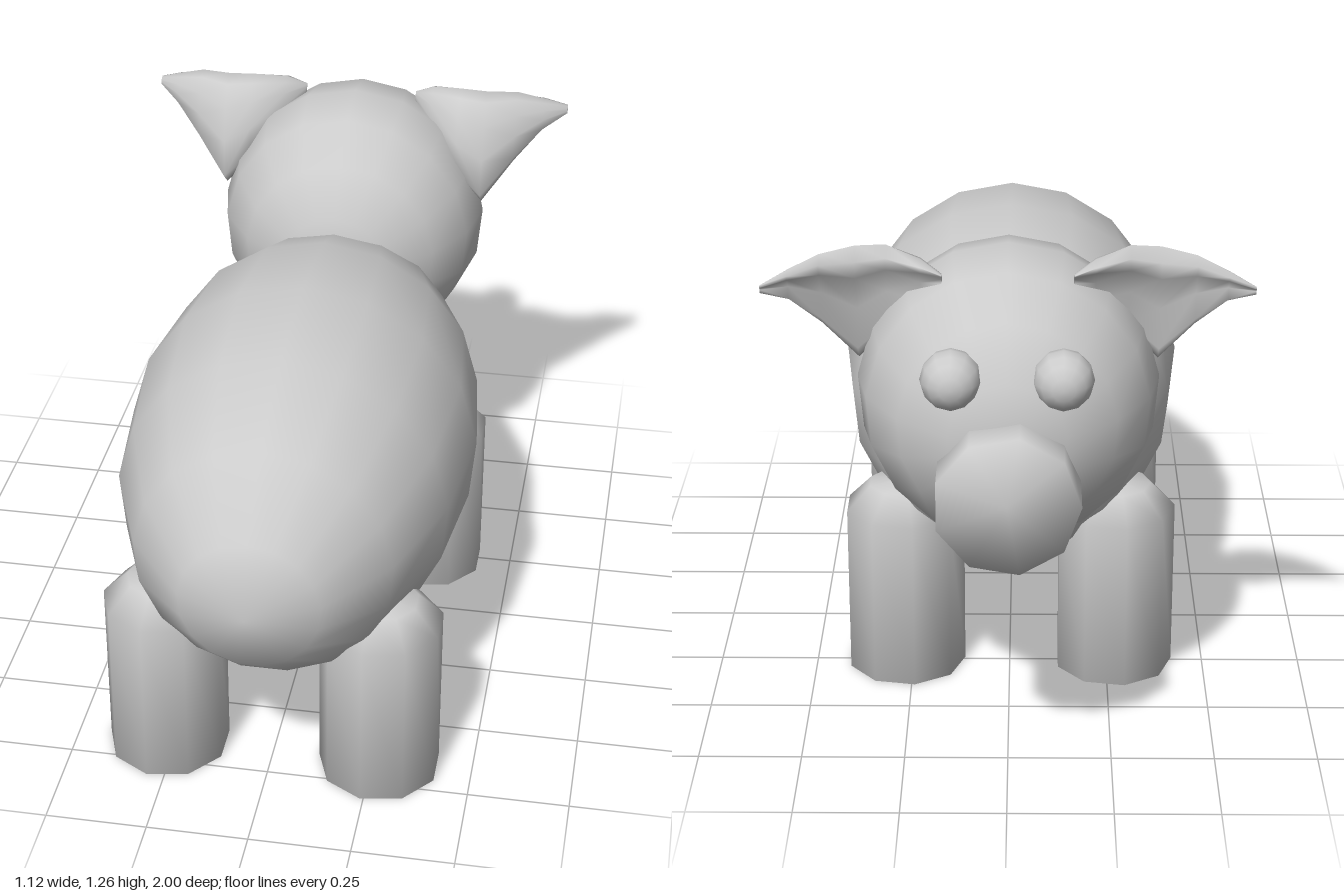
import * as THREE from 'three';

const material = new THREE.MeshStandardMaterial({ color: 0xcccccc });

function add(group, name, geometry, x = 0, y = 0, z = 0) {
  const mesh = new THREE.Mesh(geometry, material);
  mesh.name = name;
  mesh.position.set(x, y, z);
  group.add(mesh);
}

// Sphere with its poles along z and a vertex at the top
function ball(rx, ry, rz, slices, stacks) {
  return new THREE.SphereGeometry(1, slices, stacks, Math.PI * 1.5)
    .rotateX(Math.PI / 2).scale(rx, ry, rz);
}

function lathe(profile, sides) {
  const points = profile.map(([r, y]) => new THREE.Vector2(r, y));
  return new THREE.LatheGeometry(points, sides, -Math.PI / 2);
}

// Cupped ear: sections lofted from the inner end to the tip
function ear(side) {
  // x, lowest y, highest y, middle z, half thickness
  const stations = [
    [0.15, 1.19, 1.215, -0.675, 0.01],
    [0.2, 1.13, 1.243, -0.64, 0.045],
    [0.28, 1.04, 1.263, -0.595, 0.055],
    [0.35, 0.965, 1.26, -0.595, 0.055],
    [0.43, 1.07, 1.25, -0.63, 0.045],
    [0.5, 1.145, 1.222, -0.665, 0.032],
    [0.56, 1.175, 1.195, -0.7, 0.01],
  ];
  // Height fraction and depth fraction, up the back and down the hollow front
  const section = [
    [0, 0], [0.12, 0.9], [0.45, 1], [0.75, 0.8], [0.94, 0.3],
    [1, -0.3], [0.9, -1], [0.75, -0.8], [0.45, -0.2], [0.12, -0.6],
  ];
  const n = section.length;
  const positions = [];
  const index = [];
  const face = (a, b, c) => index.push(...(side > 0 ? [a, b, c] : [a, c, b]));
  stations.forEach(([x, low, high, z, half], i) => {
    for (const [h, d] of section) {
      const y = low + (high - low) * h;
      positions.push(side * x, y, z + d * half + 0.15 * (high - y));
    }
    if (i === stations.length - 1) return;
    for (let j = 0; j < n; j++) {
      const a = i * n + j;
      const b = i * n + (j + 1) % n;
      face(a, a + n, b);
      face(b, a + n, b + n);
    }
  });
  const last = (stations.length - 1) * n;
  for (let j = 1; j < n - 1; j++) {
    face(0, j, j + 1);
    face(last, last + j + 1, last + j);
  }
  const geometry = new THREE.BufferGeometry();
  geometry.setAttribute('position', new THREE.Float32BufferAttribute(positions, 3));
  geometry.setIndex(index);
  geometry.computeVertexNormals();
  return geometry;
}

export function createModel() {
  const model = new THREE.Group();
  model.name = 'pig';

  // Body and head
  add(model, 'body', ball(0.44, 0.44, 0.775, 17, 8), 0, 0.65, 0.225);
  add(model, 'head', ball(0.355, 0.36, 0.355, 17, 8), 0, 0.895, -0.57);

  // Snout pointing along -z
  const snout = lathe([[0, 0], [0.167, 0], [0.167, 0.25], [0, 0.25]], 9);
  add(model, 'snout', snout.rotateX(-Math.PI / 2), 0, 0.783, -0.75);

  for (const side of [-1, 1]) {
    const label = side > 0 ? 'left' : 'right';
    add(model, label + 'Eye', ball(0.07, 0.07, 0.07, 12, 8), side * 0.125, 1.035, -0.868);
    add(model, label + 'Ear', ear(side));

    // Legs with a domed top
    for (const [end, z] of [['Front', -0.24], ['Back', 0.66]]) {
      const leg = lathe([[0, 0], [0.152, 0], [0.152, 0.44], [0.09, 0.503], [0, 0.515]], 9);
      add(model, label + end + 'Leg', leg, side * 0.268, 0, z);
    }
  }
  return model;
}
